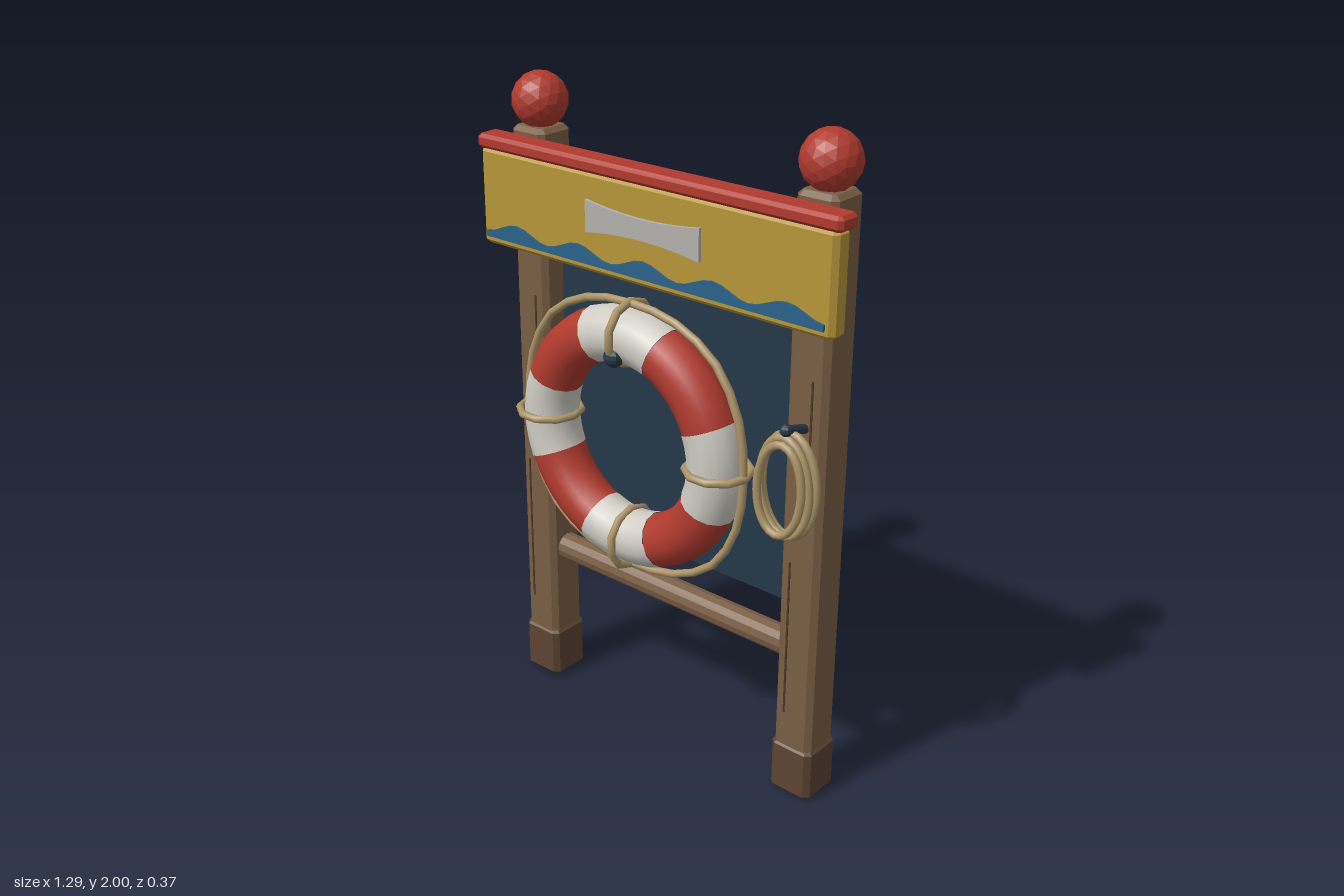
import * as THREE from 'three';

const mat = (color, flatShading = false, side = THREE.FrontSide) =>
  new THREE.MeshStandardMaterial({ color, flatShading, side });
const WOOD = mat(0x7a5f45, true), FOOT = mat(0x5c4433, true), GRAIN = mat(0x4a3728, true);
const RED = mat(0xb03a2e, true), YELLOW = mat(0xb8963a, true), NAVY = mat(0x263848, true);
const BLUE = mat(0x2a628a, true), PLAQUE = mat(0xb4b2ae, true), ROPE = mat(0xab9468);
const RING_RED = mat(0xb03a2e), RING_WHITE = mat(0xd0ccc4);

// Box with every edge chamfered, centred on its origin
function chamferBox(w, h, d, b) {
  const x = w / 2 - b, z = d / 2 - b, c = b * 0.6;
  const shape = new THREE.Shape([
    [x - c, -z], [x, -z + c], [x, z - c], [x - c, z],
    [-x + c, z], [-x, z - c], [-x, -z + c], [-x + c, -z],
  ].map(([px, pz]) => new THREE.Vector2(px, pz)));
  const g = new THREE.ExtrudeGeometry(shape, {
    depth: h - 2 * b, bevelEnabled: true, bevelThickness: b, bevelSize: b, bevelSegments: 1,
  });
  return g.translate(0, 0, b - h / 2).rotateX(-Math.PI / 2);
}

// Thin flat panel extruded forwards from an outline
function plate(points, depth) {
  const shape = new THREE.Shape(points.map(([x, y]) => new THREE.Vector2(x, y)));
  return new THREE.ExtrudeGeometry(shape, { depth, bevelEnabled: false });
}

function loopTube(fn, steps, radius) {
  const pts = Array.from({ length: steps }, (_, i) => {
    const a = (i / steps) * Math.PI * 2;
    return new THREE.Vector3(...fn(a));
  });
  return new THREE.TubeGeometry(new THREE.CatmullRomCurve3(pts, true), steps * 2, radius, 8, true);
}

// Peg from a to b with a rounded tip
function peg(name, a, b, radius, tip) {
  const g = new THREE.Group();
  g.name = name;
  const start = new THREE.Vector3(...a), end = new THREE.Vector3(...b);
  const dir = end.clone().sub(start);
  const rod = new THREE.Mesh(new THREE.CylinderGeometry(radius, radius, dir.length(), 10), NAVY);
  rod.name = name + 'Rod';
  rod.position.copy(start).add(end).multiplyScalar(0.5);
  rod.quaternion.setFromUnitVectors(new THREE.Vector3(0, 1, 0), dir.normalize());
  const ball = new THREE.Mesh(new THREE.SphereGeometry(tip, 10, 8), NAVY);
  ball.name = name + 'Tip';
  ball.position.copy(end);
  g.add(rod, ball);
  return g;
}

export function createModel() {
  const model = new THREE.Group();
  model.name = 'lifebuoyStation';
  const add = (name, geo, material, x = 0, y = 0, z = 0, parent = model) => {
    const m = new THREE.Mesh(geo, material);
    m.name = name;
    m.position.set(x, y, z);
    parent.add(m);
    return m;
  };

  // Posts with feet, ball finials and grain grooves
  for (const [side, s] of [['left', 1], ['right', -1]]) {
    const x = s * 0.513;
    add(side + 'Post', chamferBox(0.13, 1.82, 0.13, 0.014), WOOD, x, 0.935, -0.1);
    add(side + 'Foot', chamferBox(0.142, 0.175, 0.142, 0.014), FOOT, x, 0.0875, -0.1);
    add(side + 'Finial', new THREE.IcosahedronGeometry(0.084, 2), RED, x, 1.917, -0.1);
    add(side + 'UpperGrain', new THREE.BoxGeometry(0.006, 0.39, 0.004), GRAIN, x + 0.021, 1.145, -0.035);
    add(side + 'LowerGrain', new THREE.BoxGeometry(0.006, 0.5, 0.004), GRAIN, x - 0.028, 0.53, -0.035);
  }

  // Cross rail and back panel
  add('crossRail', new THREE.CylinderGeometry(0.043, 0.043, 0.94, 12).rotateZ(Math.PI / 2),
    WOOD, 0, 0.473, -0.1);
  add('backPanel', new THREE.BoxGeometry(0.92, 0.91, 0.036), NAVY, 0, 1.055, -0.129);

  // Sign board with cap, wave strip and blank plaque
  add('signBoard', chamferBox(1.268, 0.29, 0.066, 0.012), YELLOW, 0, 1.64, 0.002);
  add('signCap', chamferBox(1.29, 0.042, 0.082, 0.01), RED, 0, 1.801, -0.004);
  const wave = [[-0.61, 1.52], [0.61, 1.52]];
  for (let i = 0; i <= 40; i++) {
    const x = 0.61 - (i / 40) * 1.22;
    wave.push([x, 1.555 + 0.017 * Math.cos((x * Math.PI * 2) / 0.245)]);
  }
  add('waveStrip', plate(wave, 0.012), BLUE, 0, 0, 0.03);
  const plaque = [];
  for (let i = 0; i <= 10; i++) {
    const t = i / 5 - 1;
    plaque.push([t * 0.205, -0.03 - 0.017 * t * t]);
  }
  plaque.push(...plaque.map(([x, y]) => [-x, -y]));
  add('plaque', plate(plaque, 0.014), PLAQUE, 0, 1.662, 0.031);

  // Lifebuoy: eight alternating arcs
  const buoy = new THREE.Group();
  buoy.name = 'lifebuoy';
  buoy.position.set(0, 1.06, 0.087);
  model.add(buoy);
  for (let i = 0; i < 8; i++) {
    const white = i % 2 === 0;
    const arc = add(white ? 'whiteArc' : 'redArc',
      new THREE.TorusGeometry(0.311, white ? 0.082 : 0.08, 14, 6, Math.PI / 4),
      white ? RING_WHITE : RING_RED, 0, 0, 0, buoy);
    arc.rotation.z = (i - 0.5) * Math.PI / 4;
  }

  // Grab line around the ring, bowing out between four lashings
  add('grabLine', loopTube((a) => {
    const r = 0.406 + 0.012 * (1 - Math.cos(4 * a));
    return [r * Math.cos(a), r * Math.sin(a), 0];
  }, 16, 0.012), ROPE, 0, 0, 0, buoy);
  for (let i = 0; i < 4; i++) {
    const a = (i * Math.PI) / 2;
    const lash = add('lashing', new THREE.TorusGeometry(0.092, 0.012, 8, 10).rotateX(Math.PI / 2),
      ROPE, 0.319 * Math.cos(a), 0.319 * Math.sin(a), 0, buoy);
    lash.rotation.z = a;
  }
  model.add(peg('buoyPeg', [0, 1.327, -0.12], [0, 1.327, 0.155], 0.02, 0.03));

  // Coiled rope hanging on the left post
  const coil = new THREE.Group();
  coil.name = 'ropeCoil';
  coil.position.set(0.515, 1.055, 0.05);
  model.add(coil);
  [[0.09, 0.153, -0.022, 0], [0.082, 0.145, 0, 0.06], [0.073, 0.135, 0.024, -0.05]]
    .forEach(([rx, ry, z, tilt]) => {
      const loop = add('coilLoop', loopTube((a) => [rx * Math.cos(a), ry * Math.sin(a), 0], 16, 0.012),
        ROPE, 0, 0, z, coil);
      loop.rotation.z = tilt;
    });
  model.add(peg('coilPeg', [0.513, 1.195, -0.05], [0.513, 1.222, 0.048], 0.014, 0.018));

  return model;
}
